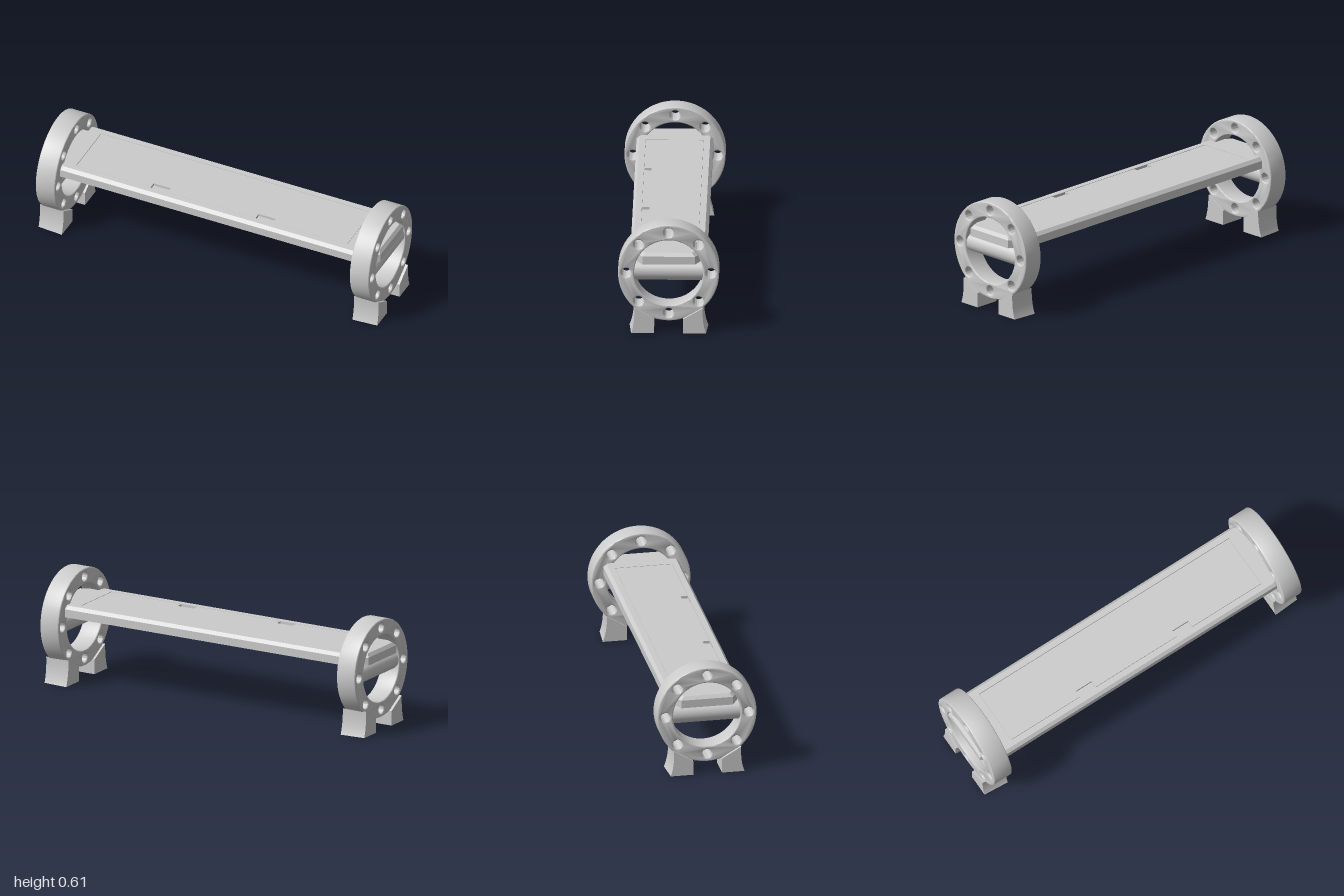
import * as THREE from 'three';
import { toCreasedNormals } from 'three/addons/utils/BufferGeometryUtils.js';

const mat = new THREE.MeshStandardMaterial({ color: 0xcccccc });

function mesh(name, geo, parent) {
  const m = new THREE.Mesh(geo, mat);
  m.name = name;
  parent.add(m);
  return m;
}

const poly = (pts, Type = THREE.Shape) => new Type(pts.map(p => new THREE.Vector2(...p)));

function rect(x0, x1, z0, z1) {
  return poly([[x0, z0], [x1, z0], [x1, z1], [x0, z1]], THREE.Path);
}

// Extrudes a plan drawn in (x, z) between two heights
function slab(shape, y0, y1) {
  const g = new THREE.ExtrudeGeometry(shape, { depth: y1 - y0, bevelEnabled: false });
  return g.rotateX(Math.PI / 2).translate(0, y1, 0);
}

// Extrudes a profile drawn in (-z, y) between two x positions
function across(shape, x0, x1, bevel = 0, segments = 24) {
  const g = new THREE.ExtrudeGeometry(shape, {
    depth: x1 - x0 - 2 * bevel, curveSegments: segments,
    bevelEnabled: bevel > 0, bevelSize: bevel, bevelThickness: bevel, bevelOffset: -bevel, bevelSegments: 3,
  });
  return toCreasedNormals(g.rotateY(Math.PI / 2).translate(x0 + bevel, 0, 0), 0.6);
}

// Plan of the deck: tapered ends reach into the rings
const deckPlan = () => poly([
  [-0.87, -0.205], [0.87, -0.205], [0.99, -0.14], [0.99, 0.14],
  [0.87, 0.205], [-0.87, 0.205], [-0.99, 0.14], [-0.99, -0.14],
]);

function buildDeck() {
  const deck = new THREE.Group();
  deck.name = 'deck';

  // Lower frame with the long opening and an end pocket on each side
  const frame = deckPlan();
  frame.holes.push(rect(-0.79, 0.79, -0.15, 0.15), rect(0.85, 0.95, -0.13, 0.13), rect(-0.95, -0.85, -0.13, 0.13));
  mesh('deckFrame', slab(frame, 0.386, 0.43), deck);

  // Chamfered upper rim: the top outline is drawn inwards
  const rim = deckPlan();
  rim.holes.push(rect(-0.8, 0.8, -0.156, 0.156));
  const rimGeo = slab(rim, 0.43, 0.448);
  const p = rimGeo.attributes.position;
  for (let i = 0; i < p.count; i++) {
    const x = p.getX(i), z = p.getZ(i);
    if (p.getY(i) > 0.44 && Math.abs(x) > 0.85) {
      p.setX(i, x - Math.sign(x) * 0.014);
      p.setZ(i, z - Math.sign(z) * 0.016);
    }
  }
  rimGeo.computeVertexNormals();
  mesh('deckRim', rimGeo, deck);

  // Inset panel with two notches along its front edge
  const e = 0.154, n = 0.115;
  const panel = poly([
    [-0.798, -e], [0.798, -e], [0.798, e], [0.36, e], [0.36, n], [0.26, n], [0.26, e],
    [-0.26, e], [-0.26, n], [-0.36, n], [-0.36, e], [-0.798, e],
  ]);
  mesh('panel', slab(panel, 0.43, 0.447), deck);

  // Latches under the notches
  for (const x of [-0.31, 0.31]) {
    mesh('latch', new THREE.BoxGeometry(0.11, 0.046, 0.06).translate(x, 0.41, 0.135), deck);
  }
  return deck;
}

function buildFoot(side) {
  // Outer side is a concave curve, the top follows the ring
  const s = new THREE.Shape();
  s.moveTo(side * 0.078, 0);
  s.lineTo(side * 0.21, 0);
  s.quadraticCurveTo(side * 0.186, 0.06, side * 0.187, 0.142);
  s.lineTo(side * 0.078, 0.08);
  s.closePath();
  const g = across(s, 0.858, 1, 0, 12);
  // The outward edge of the curve is slightly set back
  const p = g.attributes.position;
  for (let i = 0; i < p.count; i++) {
    const z = p.getZ(i);
    if (p.getX(i) > 0.95 && Math.abs(z) > 0.15) p.setZ(i, z - Math.sign(z) * (0.01 - 0.04 * p.getY(i)));
  }
  g.computeVertexNormals();
  return toCreasedNormals(g, 0.6);
}

function buildEnd() {
  const end = new THREE.Group();
  end.name = 'endSupport';
  const cy = 0.336;

  // Flanged ring with eight bolt holes
  const ring = new THREE.Shape();
  ring.absarc(0, cy, 0.27, 0, Math.PI * 2);
  const hole = (x, y, r) => {
    const h = new THREE.Path();
    h.absarc(x, y, r, 0, Math.PI * 2, true);
    ring.holes.push(h);
  };
  hole(0, cy, 0.184);
  for (let i = 0; i < 8; i++) {
    const a = i * Math.PI / 4;
    hole(Math.cos(a) * 0.226, cy + Math.sin(a) * 0.226, 0.026);
  }
  mesh('ring', across(ring, 0.87, 0.985, 0.006, 40), end);

  // Round crossbar under the deck
  const bar = new THREE.CylinderGeometry(0.053, 0.053, 0.38, 40);
  mesh('crossbar', bar.rotateX(Math.PI / 2).translate(0.926, 0.333, 0), end);

  for (const side of [-1, 1]) mesh('foot', buildFoot(side), end);
  return end;
}

export function createModel() {
  const model = new THREE.Group();
  model.name = 'bridgeStand';
  model.add(buildDeck());
  const left = buildEnd();
  const right = buildEnd();
  right.rotation.y = Math.PI;
  model.add(left, right);
  return model;
}
